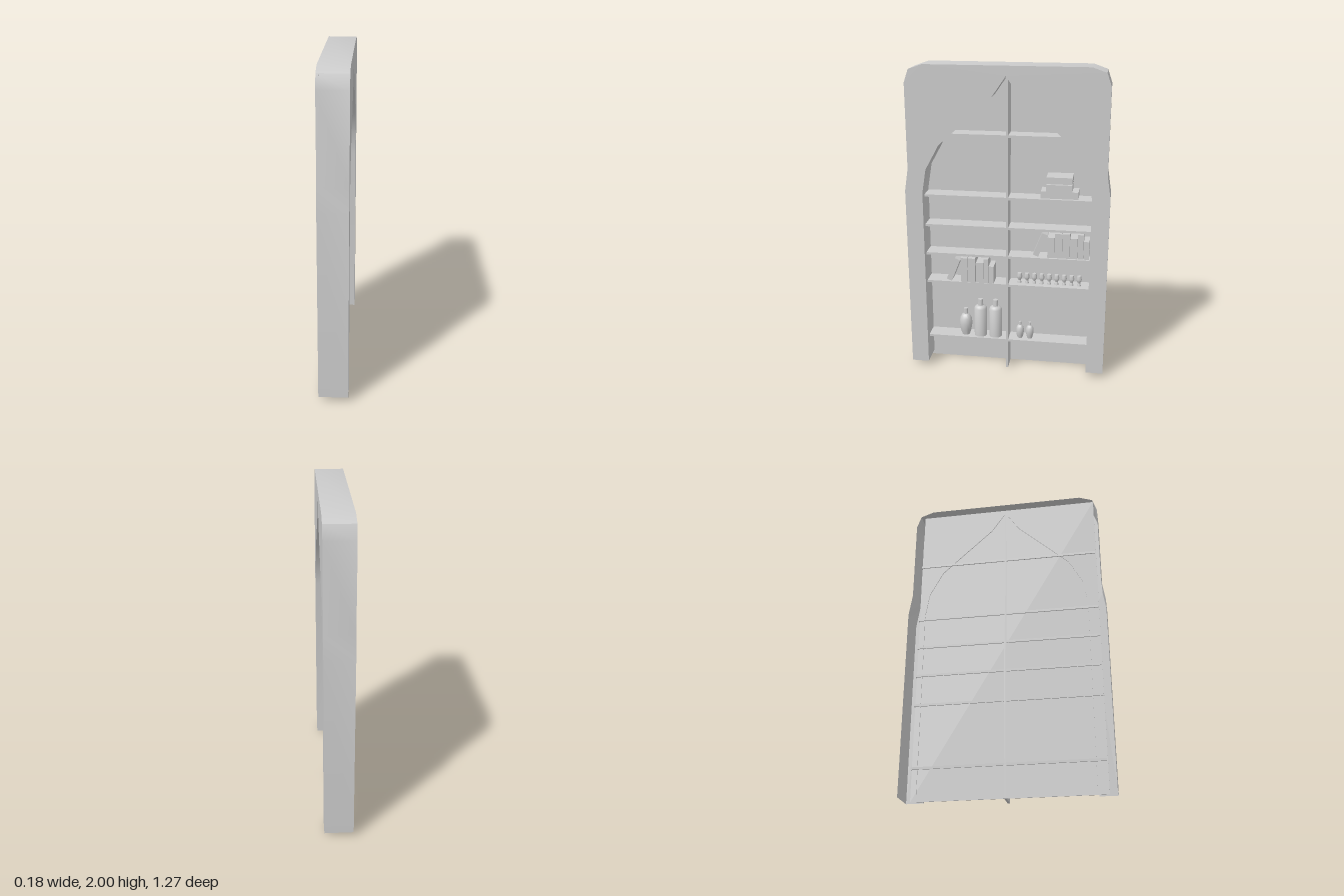
import * as THREE from 'three';
import { toCreasedNormals } from 'three/addons/utils/BufferGeometryUtils.js';

const mat = new THREE.MeshStandardMaterial({ color: 0xcccccc, side: THREE.DoubleSide });

// Half outlines as [z, y], from the floor up
const OUTER = [[0.635, 0.03], [0.635, 1.22], [0.613, 1.36], [0.613, 1.89], [0.585, 1.97], [0.5, 2]];
const ARCH = [[0.525, 0.03], [0.525, 1.21], [0.5, 1.36], [0.415, 1.515], [0.245, 1.67], [0.09, 1.81], [0, 1.94]];
const mirrored = (half) => [...half, ...half.slice().reverse().map(([z, y]) => [-z, y])];

export function createModel() {
  const model = new THREE.Group();
  model.name = 'archedBookcase';

  const add = (parent, name, geometry, x = 0, y = 0, z = 0) => {
    const mesh = new THREE.Mesh(geometry, mat);
    mesh.name = name;
    mesh.position.set(x, y, z);
    parent.add(mesh);
    return mesh;
  };
  const group = (name) => {
    const g = new THREE.Group();
    g.name = name;
    model.add(g);
    return g;
  };
  // Box given by its limits on each axis
  const box = (parent, name, x0, x1, y0, y1, z0, z1) =>
    add(parent, name, new THREE.BoxGeometry(x1 - x0, y1 - y0, z1 - z0), (x0 + x1) / 2, (y0 + y1) / 2, (z0 + z1) / 2);

  // Open wall running along an outline between two depths
  const wall = (points, x0, x1) => {
    const pos = [], index = [];
    points.forEach(([z, y], i) => {
      pos.push(x0, y, z, x1, y, z);
      const a = i * 2;
      if (i) index.push(a - 2, a - 1, a, a - 1, a + 1, a);
    });
    const g = new THREE.BufferGeometry();
    g.setAttribute('position', new THREE.Float32BufferAttribute(pos, 3));
    g.setIndex(index);
    return toCreasedNormals(g, 0.5);
  };

  // Hollow frame: front sheet, outer wall and arch lining
  const frame = group('frame');
  const outer = mirrored(OUTER);
  const arch = mirrored(ARCH.slice(0, -1));
  arch.splice(ARCH.length - 1, 0, ARCH[ARCH.length - 1]);
  const outline = [...outer, ...arch.slice().reverse()].map(([z, y]) => new THREE.Vector2(z, y));
  const face = new THREE.ShapeGeometry(new THREE.Shape(outline)).rotateY(Math.PI / 2);
  add(frame, 'frontFace', face, 0.09);
  add(frame, 'outerWall', wall(outer, -0.09, 0.09));
  add(frame, 'archLining', wall(arch, -0.08, 0.09));

  // Back panel, upright divider and shelves
  box(model, 'backPanel', -0.075, -0.07, 0, 1.965, -0.56, 0.59);
  box(model, 'divider', -0.082, 0.045, 0, 1.95, -0.007, 0.007);
  const shelves = group('shelves');
  for (const top of [0.207, 0.602, 0.797, 0.99, 1.187, 1.58])
    box(shelves, 'shelf', -0.082, 0.043, top - 0.015, top, -0.565, 0.585);

  // Rows of books: [start z, width, height], each row led by a leaning book
  const bookRow = (name, floor, leanZ, books) => {
    const row = group(name);
    const lean = box(row, 'leaningBook', -0.06, 0.04, floor + 0.003, floor + 0.16, leanZ - 0.018, leanZ + 0.018);
    lean.position.y = floor + 0.083;
    lean.rotation.x = -0.37;
    for (const [z, width, height] of books)
      box(row, 'book', -0.065, 0.04, floor, floor + height, z - width + 0.002, z);
  };
  bookRow('leftBooks', 0.602, 0.352, [
    [0.302, 0.044, 0.165], [0.257, 0.05, 0.165], [0.204, 0.05, 0.138], [0.153, 0.031, 0.165], [0.121, 0.035, 0.117]]);
  bookRow('rightBooks', 0.802, -0.21, [
    [-0.256, 0.047, 0.135], [-0.303, 0.047, 0.162], [-0.35, 0.048, 0.162],
    [-0.398, 0.048, 0.135], [-0.446, 0.038, 0.162], [-0.484, 0.036, 0.118]]);

  // Stack of flat books
  const stack = group('bookStack');
  box(stack, 'bottomBook', -0.072, 0.032, 1.19, 1.235, -0.44, -0.208);
  box(stack, 'middleBook', -0.07, 0.05, 1.24, 1.283, -0.403, -0.243);
  box(stack, 'topBook', -0.07, 0.05, 1.288, 1.33, -0.403, -0.243);

  // Turned vessels, profile as [radius, height]
  const turned = (profile, sides = 20) =>
    toCreasedNormals(new THREE.LatheGeometry(profile.map(([r, y]) => new THREE.Vector2(r, y)), sides), 0.7);
  const bottle = turned([[0, 0], [0.042, 0], [0.042, 0.195], [0.034, 0.208], [0.018, 0.215], [0.016, 0.258], [0, 0.258]]);
  const vase = turned([[0, 0], [0.026, 0], [0.036, 0.035], [0.043, 0.08], [0.038, 0.118], [0.026, 0.14],
    [0.014, 0.148], [0.013, 0.185], [0, 0.185]]);
  const glass = turned([[0, 0], [0.013, 0], [0.011, 0.012], [0.008, 0.02], [0.016, 0.035], [0.018, 0.046],
    [0.013, 0.068], [0, 0.068]], 12);
  const vessels = group('vessels');
  for (const z of [0.185, 0.085]) add(vessels, 'bottle', bottle, -0.01, 0.207, z);
  add(vessels, 'vase', vase, -0.01, 0.207, 0.285);
  for (const z of [-0.08, -0.145]) add(vessels, 'smallVase', vase, -0.005, 0.207, z).scale.setScalar(0.62);
  for (let i = 0; i < 9; i++) add(vessels, 'glass', glass, -0.005, 0.602, -0.075 - i * 0.048);

  return model;
}
